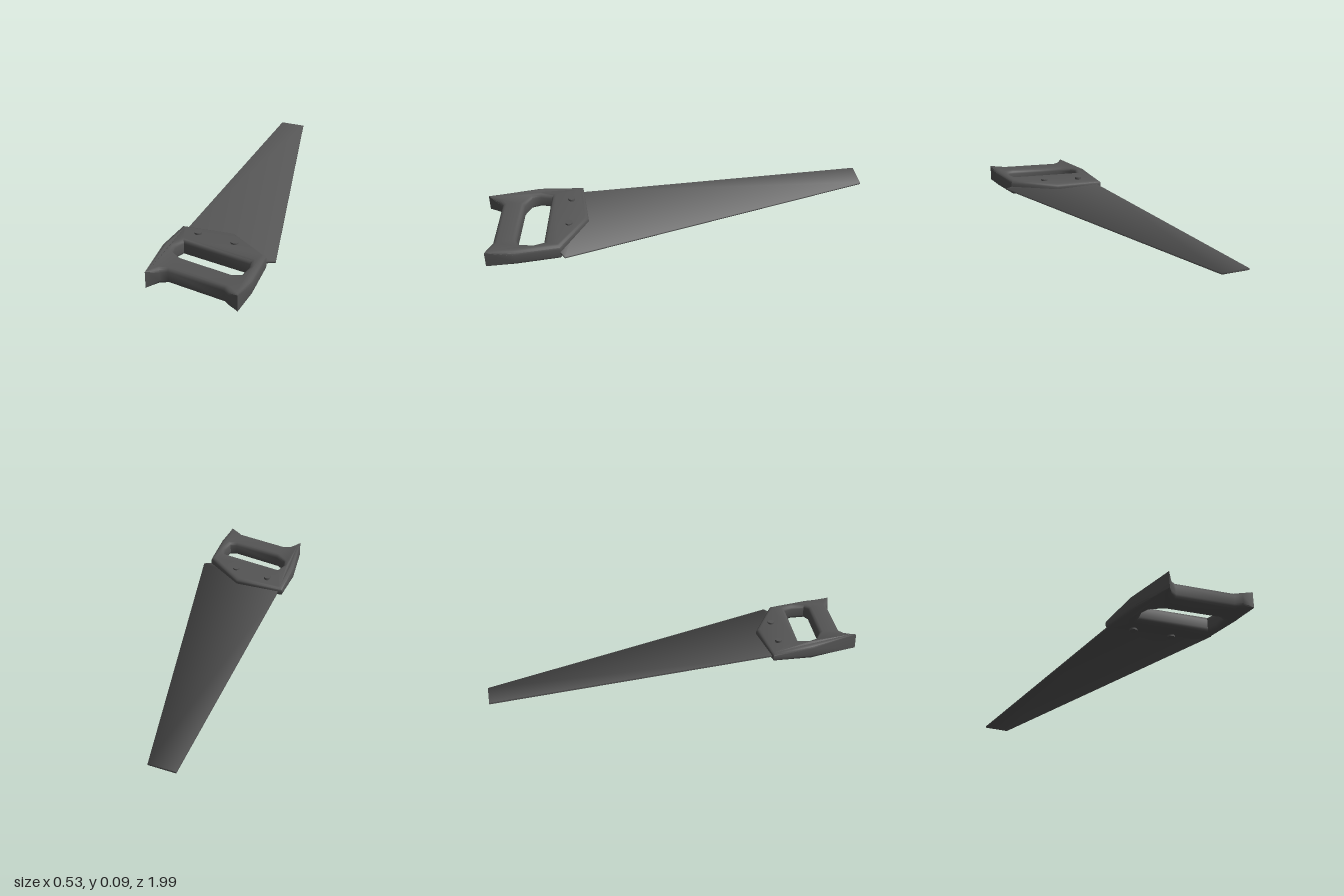
import * as THREE from 'three';
import { toCreasedNormals } from 'three/addons/utils/BufferGeometryUtils.js';

// Height of the saw's tilted middle plane at a given z
const midY = (z) => 0.032 + 0.02 * z;

// Plan points are given as [x, z]
const toPoints = (list) => list.map(([x, z]) => new THREE.Vector2(x, -z));

function makeHandle() {
  const outline = toPoints([
    [-0.2, 0.4], [-0.25, 0.61], [-0.27, 0.87], [-0.215, 0.833], [-0.18, 0.825],
    [0.08, 0.935], [0.105, 0.965], [0.145, 0.99], [0.19, 0.86], [0.225, 0.65], [0.055, 0.455],
  ]);
  const hole = toPoints([
    [-0.16, 0.577], [0.16, 0.71], [0.16, 0.757], [0.135, 0.82],
    [0.1, 0.825], [-0.145, 0.72], [-0.19, 0.67], [-0.19, 0.625],
  ]);
  const shape = new THREE.Shape(outline);
  shape.holes.push(new THREE.Path(hole));
  const geo = new THREE.ExtrudeGeometry(shape, {
    depth: 1, bevelThickness: 0.5, bevelSize: 0.02, bevelOffset: -0.02, bevelSegments: 3,
  });
  geo.translate(0, 0, -0.5).rotateX(-Math.PI / 2);

  // Thin the handle toward the blade, tilt it, and keep the horn tips full height
  const p = geo.attributes.position;
  const horns = [[-0.27, 0.87], [0.145, 0.99]];
  for (let i = 0; i < p.count; i++) {
    const x = p.getX(i), z = p.getZ(i);
    let t = p.getY(i);
    if (horns.some(([hx, hz]) => Math.hypot(x - hx, z - hz) < 0.03)) t = Math.sign(t);
    const half = 0.02 + 0.02 * THREE.MathUtils.smoothstep(z, 0.39, 0.53);
    p.setY(i, midY(z) + t * half);
  }
  return toCreasedNormals(geo, 0.8);
}

function makeBlade() {
  const shape = new THREE.Shape(toPoints([
    [-0.177, 0.4], [-0.15, 0.5], [0.1, 0.6], [0.21, 0.655], [0.265, 0.64], [0.265, -0.965], [0.135, -1],
  ]));
  const thick = 0.008;
  const geo = new THREE.ExtrudeGeometry(shape, { depth: thick, bevelEnabled: false });
  geo.translate(0, 0, -thick / 2).rotateX(-Math.PI / 2);
  const p = geo.attributes.position;
  for (let i = 0; i < p.count; i++) p.setY(i, p.getY(i) + midY(p.getZ(i)));
  geo.computeVertexNormals();

  // Soften the shading over the cutting edge
  const n = geo.attributes.normal;
  for (let i = 0; i < p.count; i++) {
    if (p.getX(i) > 0.26) {
      const side = Math.sign(p.getY(i) - midY(p.getZ(i)));
      n.setXYZ(i, Math.SQRT1_2, side * Math.SQRT1_2, 0);
    }
  }
  return geo;
}

export function createModel() {
  const group = new THREE.Group();
  const darkGrey = new THREE.MeshStandardMaterial({ color: 0x555555 });
  darkGrey.name = 'dark grey';

  const add = (name, geometry) => {
    const mesh = new THREE.Mesh(geometry, darkGrey);
    mesh.name = name;
    group.add(mesh);
    return mesh;
  };

  add('handle', makeHandle());
  add('blade', makeBlade());

  // Rivets pass through the handle and stand a little proud on both faces
  for (const [x, z, height] of [[-0.11, 0.49, 0.08], [0.07, 0.56, 0.084]]) {
    const rivet = add('rivet', new THREE.CylinderGeometry(0.018, 0.018, height, 10));
    rivet.position.set(x, midY(z), z);
    rivet.rotation.x = -0.02;
  }
  return group;
}
